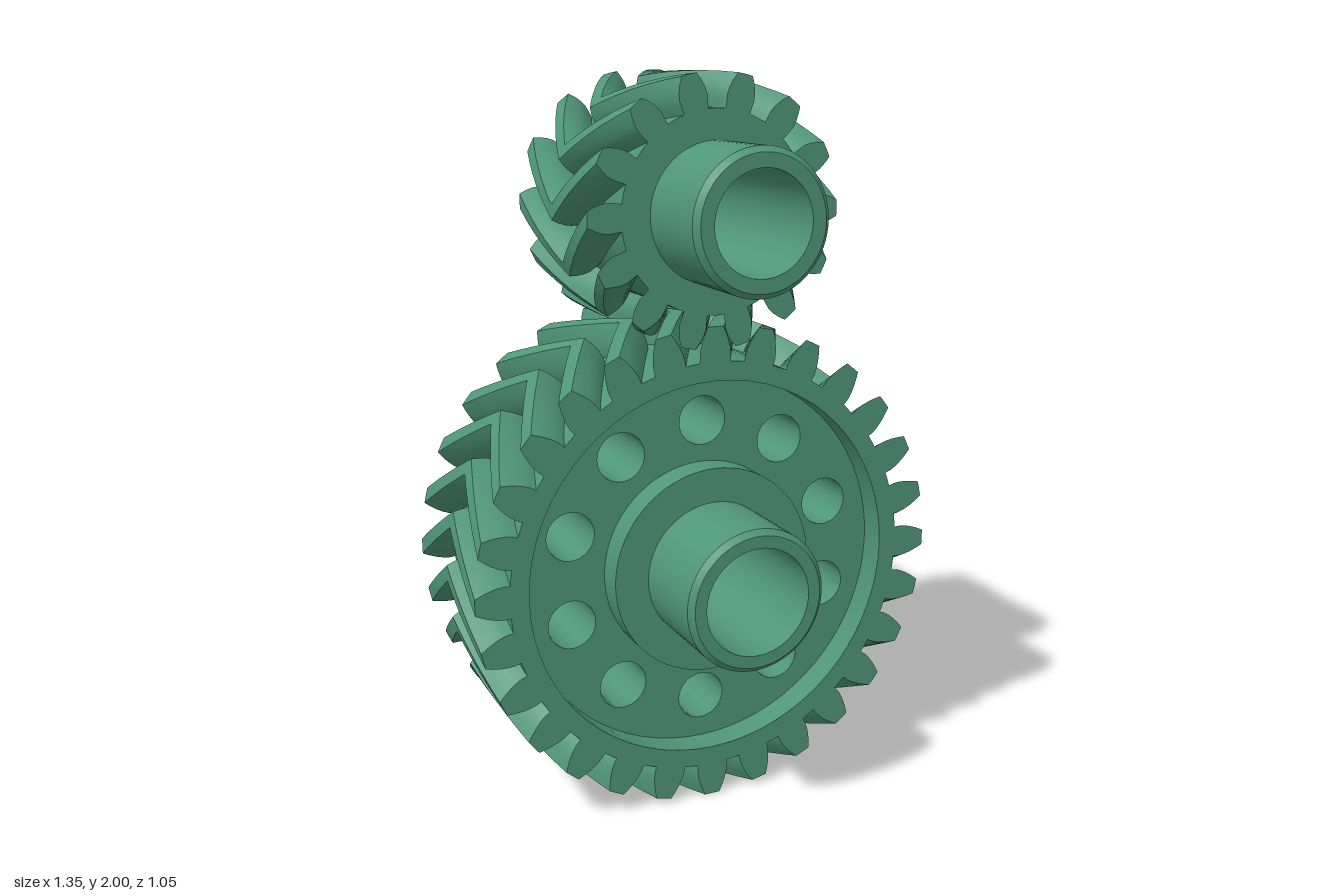
import * as THREE from 'three';
import { toCreasedNormals, mergeGeometries } from 'three/addons/utils/BufferGeometryUtils.js';

const HALF = 0.262;      // half width of the toothed bands
const HUB = 0.525;       // half length of the hubs
const WEB = 0.182;       // half thickness of the drilled web
const MODULE = 0.0462;   // pitch diameter per tooth
const PRESSURE = 0.398;  // transverse pressure angle
const inv = a => Math.tan(a) - a;

// Outline of a gear with involute flanks, counter-clockwise, a tooth centred on +x
function gearOutline(teeth, root, outer) {
  const pitch = MODULE * teeth / 2, base = pitch * Math.cos(PRESSURE);
  const half = r => Math.PI / (2 * teeth) * 0.97 + inv(PRESSURE)
    - inv(Math.acos(Math.min(1, base / Math.max(r, base))));
  const radii = [0, 0.2, 0.4, 0.6, 0.8, 1].map(t => root + (outer - root) * t);
  const pts = [];
  const add = (r, a) => pts.push(new THREE.Vector2(r * Math.cos(a), r * Math.sin(a)));
  for (let i = 0; i < teeth; i++) {
    const c = i * 2 * Math.PI / teeth;
    radii.forEach(r => add(r, c - half(r)));
    add(outer, c);
    [...radii].reverse().forEach(r => add(r, c + half(r)));
    add(root, c + Math.PI / teeth);
  }
  return pts;
}

// Herringbone band: the outline turns towards the mid plane and back again
function toothBand(outline, twist) {
  const steps = 12, n = outline.length, pos = [], index = [];
  for (let k = 0; k <= steps; k++) {
    const t = k / steps * 2 - 1, a = twist * (1 - Math.abs(t));
    const c = Math.cos(a), s = Math.sin(a);
    outline.forEach(p => pos.push(p.x * c - p.y * s, p.x * s + p.y * c, t * HALF));
  }
  for (let k = 0; k < steps; k++) {
    for (let i = 0; i < n; i++) {
      const j = (i + 1) % n, a = k * n + i, b = k * n + j;
      index.push(a, b, b + n, a, b + n, a + n);
    }
  }
  const g = new THREE.BufferGeometry();
  g.setAttribute('position', new THREE.Float32BufferAttribute(pos, 3));
  g.setIndex(index);
  return toCreasedNormals(g, 0.5);
}

// Flat toothed end faces with a round opening
function endFaces(outline, hole) {
  const shape = new THREE.Shape(outline);
  shape.holes.push(new THREE.Path().absarc(0, 0, hole, 0, Math.PI * 2, true));
  const front = new THREE.ShapeGeometry(shape, 32).translate(0, 0, HALF);
  return mergeGeometries([front, front.clone().rotateY(Math.PI)]);
}

// Solid of revolution about z from [radius, z] points
function turned(points) {
  const g = new THREE.LatheGeometry(points.map(p => new THREE.Vector2(p[0], p[1])), 72);
  return toCreasedNormals(g.rotateX(Math.PI / 2), 0.5);
}

// Bored hub with chamfered ends; shoulder lists extra [radius, z] steps on the +z half
function hub(bore, radius, shoulder) {
  const top = [...shoulder, [radius, HALF], [radius, HUB - 0.015], [radius - 0.015, HUB], [bore, HUB]];
  const bottom = top.map(([r, z]) => [r, -z]).reverse();
  return turned([...bottom, ...top, [bore, -HUB]]);
}

export function createModel() {
  const model = new THREE.Group();
  const green = new THREE.MeshStandardMaterial({ color: 0x4f9679 });
  green.name = 'gear green';

  const gear = (name, y) => {
    const g = new THREE.Group();
    g.name = name;
    g.position.y = y;
    model.add(g);
    return (part, geometry) => {
      const m = new THREE.Mesh(geometry, green);
      m.name = part;
      g.add(m);
    };
  };

  // Large wheel
  const wheel = gear('largeGear', 0.676);
  const wheelOutline = gearOutline(28, 0.582, 0.676);
  wheel('largeTeeth', toothBand(wheelOutline, -0.234));
  wheel('largeEndFaces', endFaces(wheelOutline, 0.53));
  wheel('largeHub', hub(0.147, 0.195, [[0.29, WEB], [0.29, HALF]]));
  for (const s of [-1, 1]) {
    const z = [s * WEB, s * HALF].sort((a, b) => b - a);
    wheel('recessWall', turned([[0.53, z[0]], [0.53, z[1]]]));
  }

  // Recessed web with ten lightening holes
  const web = new THREE.Shape().absarc(0, 0, 0.53, 0, Math.PI * 2);
  web.holes.push(new THREE.Path().absarc(0, 0, 0.285, 0, Math.PI * 2, true));
  for (let i = 0; i < 10; i++) {
    const a = Math.PI / 2 + i * Math.PI / 5;
    web.holes.push(new THREE.Path().absarc(0.405 * Math.cos(a), 0.405 * Math.sin(a), 0.068, 0, Math.PI * 2, true));
  }
  const webGeo = new THREE.ExtrudeGeometry(web, { depth: WEB * 2, bevelEnabled: false, curveSegments: 36 });
  wheel('drilledWeb', toCreasedNormals(webGeo.translate(0, 0, -WEB), 0.5));

  // Small pinion with the opposite twist
  const pinion = gear('smallGear', 1.645);
  const pinionOutline = gearOutline(14, 0.264, 0.355);
  pinion('smallTeeth', toothBand(pinionOutline, 0.467));
  pinion('smallEndFaces', endFaces(pinionOutline, 0.18));
  pinion('smallHub', hub(0.133, 0.185, []));

  return model;
}
